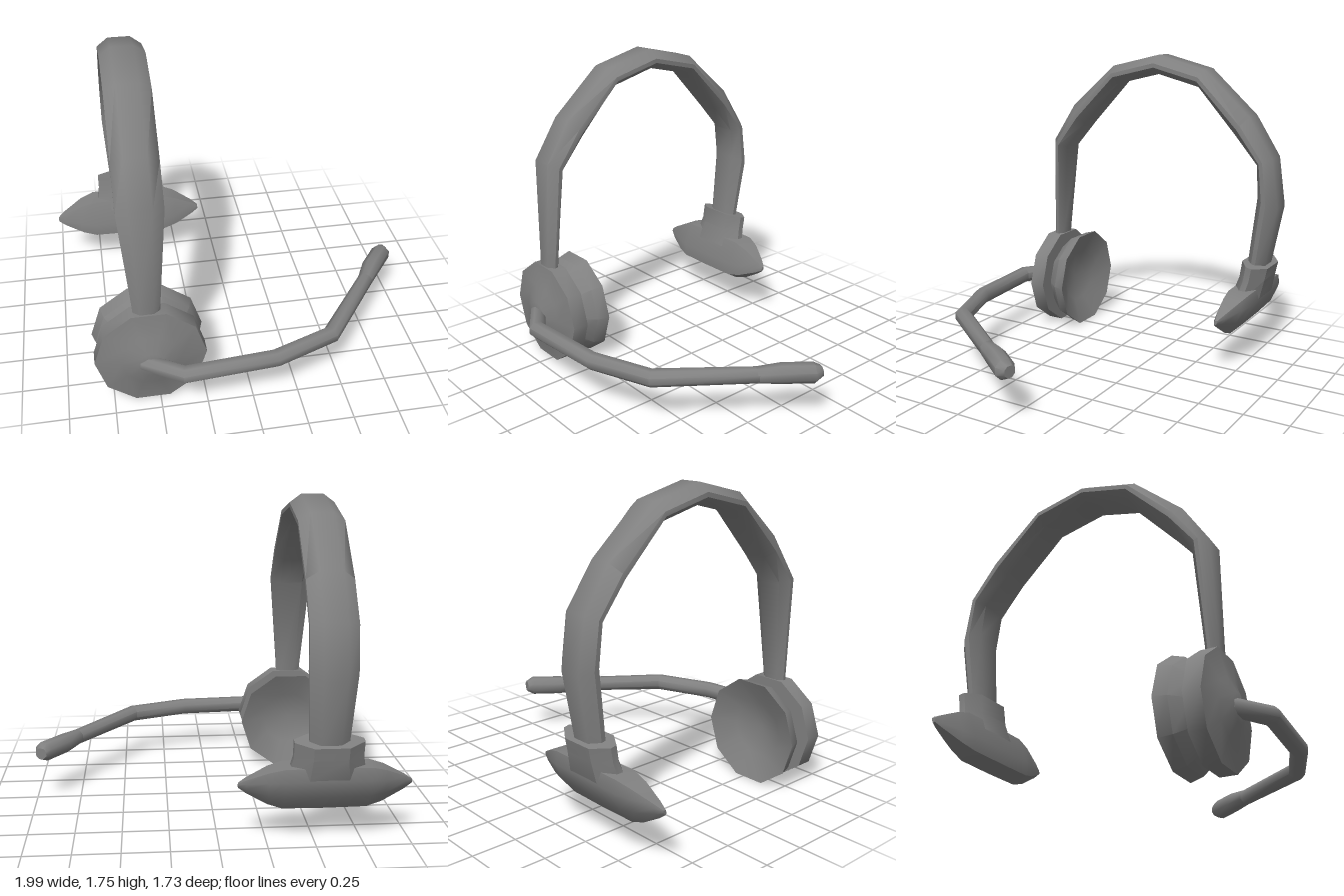
import * as THREE from 'three';
import { toCreasedNormals } from 'three/addons/utils/BufferGeometryUtils.js';

const CX = -0.548; // centre line of band and temple pad
const CUP_X = -0.54;
const V = (x, y, z) => new THREE.Vector3(x, y, z);
const mat = new THREE.MeshStandardMaterial({ color: 0x808080, side: THREE.DoubleSide });

// Closed skin through equal-sized rings, capped at both ends
function loft(rings, crease) {
  const n = rings[0].length, pos = [];
  const tri = (a, b, c) => pos.push([a, b, c]);
  for (let i = 0; i < rings.length - 1; i++) {
    for (let j = 0; j < n; j++) {
      const k = (j + 1) % n, a = rings[i], b = rings[i + 1];
      tri(a[j], a[k], b[k]);
      tri(a[j], b[k], b[j]);
    }
  }
  const cap = (r, flip) => {
    const c = r.reduce((s, p) => s.add(p), V(0, 0, 0)).divideScalar(n);
    for (let j = 0; j < n; j++) {
      const k = (j + 1) % n;
      flip ? tri(c, r[k], r[j]) : tri(c, r[j], r[k]);
    }
  };
  cap(rings[0], true);
  cap(rings[rings.length - 1], false);
  // signed volume decides whether the skin has to be turned outwards
  const vol = pos.reduce((s, [a, b, c]) => s + a.dot(b.clone().cross(c)), 0);
  const pts = pos.flatMap(([a, b, c]) => (vol < 0 ? [a, c, b] : [a, b, c]));
  return toCreasedNormals(new THREE.BufferGeometry().setFromPoints(pts), crease);
}

// Chamfered section between an outer and an inner (z, y) point
const SECTION = [[-0.5, 0], [0.5, 0], [1, 0.42], [1, 0.65], [0.55, 1], [-0.55, 1], [-1, 0.65], [-1, 0.42]];
function section([zo, yo, zi, yi, w]) {
  return SECTION.map(([s, t]) => V(CX + s * w, yo + (yi - yo) * t, zo + (zi - zo) * t));
}

// Round tube along [x, z, radius] stations at mouth height, with mitred rings
function tube(stations, sides) {
  const p = stations.map(([x, z]) => V(x, 0.295, z));
  const up = V(0, 1, 0);
  return loft(p.map((c, i) => {
    const a = c.clone().sub(p[Math.max(i - 1, 0)]).normalize();
    const b = p[Math.min(i + 1, p.length - 1)].clone().sub(c).normalize();
    const side = a.add(b).normalize().cross(up).normalize();
    const r = stations[i][2];
    return Array.from({ length: sides }, (_, j) => {
      const t = ((j + 0.5) / sides) * Math.PI * 2;
      return c.clone().addScaledVector(side, r * Math.cos(t)).addScaledVector(up, r * Math.sin(t));
    });
  }), 0.9);
}

// Ten-sided turned part facing +z, from [radius, z] points
function turned(profile) {
  const g = new THREE.LatheGeometry(profile.map(([r, z]) => new THREE.Vector2(r, z)), 10, Math.PI / 2);
  g.rotateX(Math.PI / 2);
  g.translate(CUP_X, 0.297, 0);
  return toCreasedNormals(g, 0.65);
}

export function createModel() {
  const model = new THREE.Group();
  const add = (name, geometry) => {
    const m = new THREE.Mesh(geometry, mat);
    m.name = name;
    model.add(m);
  };

  // Headband arch: outer z, y, inner z, y, half width
  add('headband', loft([
    [0.655, 0.54, 0.585, 0.54, 0.07],
    [0.65, 0.62, 0.58, 0.62, 0.075],
    [0.63, 1.2, 0.536, 1.16, 0.122],
    [0.485, 1.425, 0.40, 1.32, 0.122],
    [0.2, 1.68, 0.163, 1.58, 0.122],
    [-0.098, 1.753, -0.098, 1.645, 0.122],
    [-0.396, 1.68, -0.364, 1.58, 0.122],
    [-0.68, 1.425, -0.60, 1.32, 0.122],
    [-0.825, 1.2, -0.737, 1.16, 0.122],
    [-0.867, 0.92, -0.75, 0.98, 0.122],
    [-0.80, 0.54, -0.70, 0.56, 0.1],
  ].map(section), 0.85));

  // Ear cup: outer shell with a shallow cone, and a dished cushion
  add('earCupShell', turned([[0, 0.573], [0.3, 0.573], [0.3, 0.664], [0.16, 0.686], [0.075, 0.722], [0, 0.724]]));
  add('earCushion', turned([[0, 0.53], [0.16, 0.49], [0.305, 0.426], [0.285, 0.494], [0.21, 0.575], [0, 0.575]]));

  // Microphone boom and its capsule
  add('microphoneBoom', tube([
    [-0.58, 0.69, 0.045],
    [-0.38, 0.82, 0.049],
    [0.115, 0.782, 0.049],
    [0.45, 0.654, 0.049],
    [0.79, 0.205, 0.044],
  ], 8));
  add('microphone', tube([
    [0.775, 0.225, 0.044],
    [0.845, 0.115, 0.056],
    [0.95, -0.02, 0.057],
    [0.963, -0.06, 0.034],
  ], 8));

  // Temple pad: one (z, y) section shrinking towards both wing tips
  const pad = [[-0.6, 0.233], [-0.6, 0.31], [-0.655, 0.45], [-0.79, 0.45], [-0.797, 0.38], [-0.755, 0.28], [-0.676, 0.19]];
  const tip = [-0.68, 0.33];
  const wing = [[0.45, 0.1], [0.41, 0.32], [0.3, 0.78], [0.22, 0.98]];
  const stations = [...wing.map(([x, s]) => [-x, s]), [0, 1], ...wing.slice().reverse()];
  add('templePad', loft(stations.map(([x, s]) =>
    pad.map(([z, y]) => V(CX + x, tip[1] + (y - tip[1]) * s, tip[0] + (z - tip[0]) * s))), 0.6));

  // Socket joining the pad to the band
  add('padSocket', loft([
    [-0.834, 0.57, -0.685, 0.6, 0.178],
    [-0.82, 0.5, -0.67, 0.5, 0.178],
    [-0.797, 0.39, -0.635, 0.4, 0.2],
    [-0.75, 0.30, -0.61, 0.3, 0.23],
  ].map(section), 0.6));

  return model;
}
